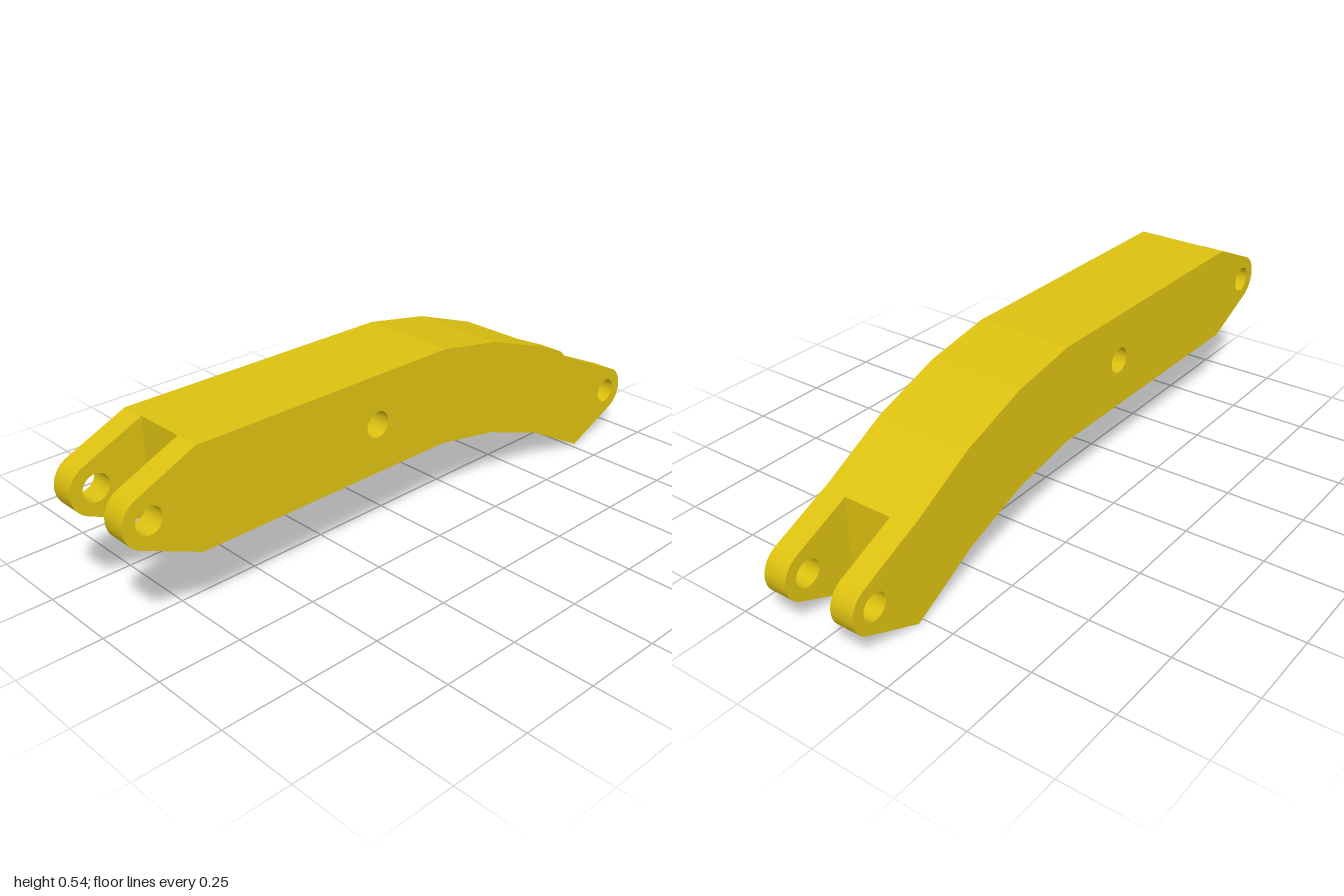
import * as THREE from 'three';
import { toCreasedNormals } from 'three/addons/utils/BufferGeometryUtils.js';

const HALF_DEPTH = 0.153;
const LUG_INNER = 0.078;
const HOLE_RADIUS = 0.04;
const material = new THREE.MeshStandardMaterial({ color: 0xdcc010 });

function pinHole(x, y) {
  return new THREE.Path().absarc(x, y, HOLE_RADIUS, 0, Math.PI * 2, true);
}

// Plate of the given outline, from z0 to z1
function plate(name, shape, z0, z1) {
  const geometry = new THREE.ExtrudeGeometry(shape, {
    depth: z1 - z0, bevelEnabled: false, curveSegments: 64,
  }).translate(0, 0, z0);
  const mesh = new THREE.Mesh(toCreasedNormals(geometry, 0.12), material);
  mesh.name = name;
  return mesh;
}

// Tapered lug outline pointing to +x: rounded tip tangent to both straight sides
function lugShape() {
  const root = 0.152, radius = 0.077;
  const a = Math.PI * 0.75 - Math.acos(radius / Math.hypot(root, root));
  const shape = new THREE.Shape();
  shape.moveTo(-root, root);
  shape.lineTo(-root, -root);
  shape.absarc(0, 0, radius, -a, a, false);
  shape.closePath();
  shape.holes.push(pinHole(0, 0));
  return shape;
}

// Pair of lugs forming a fork
function fork(name, x, y, direction) {
  const group = new THREE.Group();
  group.name = name;
  const shape = lugShape();
  group.add(plate('frontLug', shape, LUG_INNER, HALF_DEPTH));
  group.add(plate('backLug', shape, -HALF_DEPTH, -LUG_INNER));
  if (direction < 0) group.rotation.y = Math.PI;
  group.position.set(x, y, 0);
  return group;
}

export function createModel() {
  const model = new THREE.Group();
  model.name = 'linkArm';

  // Bent beam: lower edge, then the same edge raised by the beam height
  const lower = [[-0.774, 0.236], [0.11, 0.236], [0.33, 0.197], [0.55, 0.12], [0.771, 0.003]];
  const upper = lower.map(([x, y]) => [x, y + 0.302]).reverse();
  const outline = new THREE.Shape([...lower, ...upper].map(([x, y]) => new THREE.Vector2(x, y)));
  outline.holes.push(pinHole(-0.16, 0.387));
  model.add(plate('beam', outline, -HALF_DEPTH, HALF_DEPTH));

  // Forked ends
  model.add(fork('rightFork', -0.925, 0.387, -1));
  model.add(fork('leftFork', 0.923, 0.155, 1));
  return model;
}
